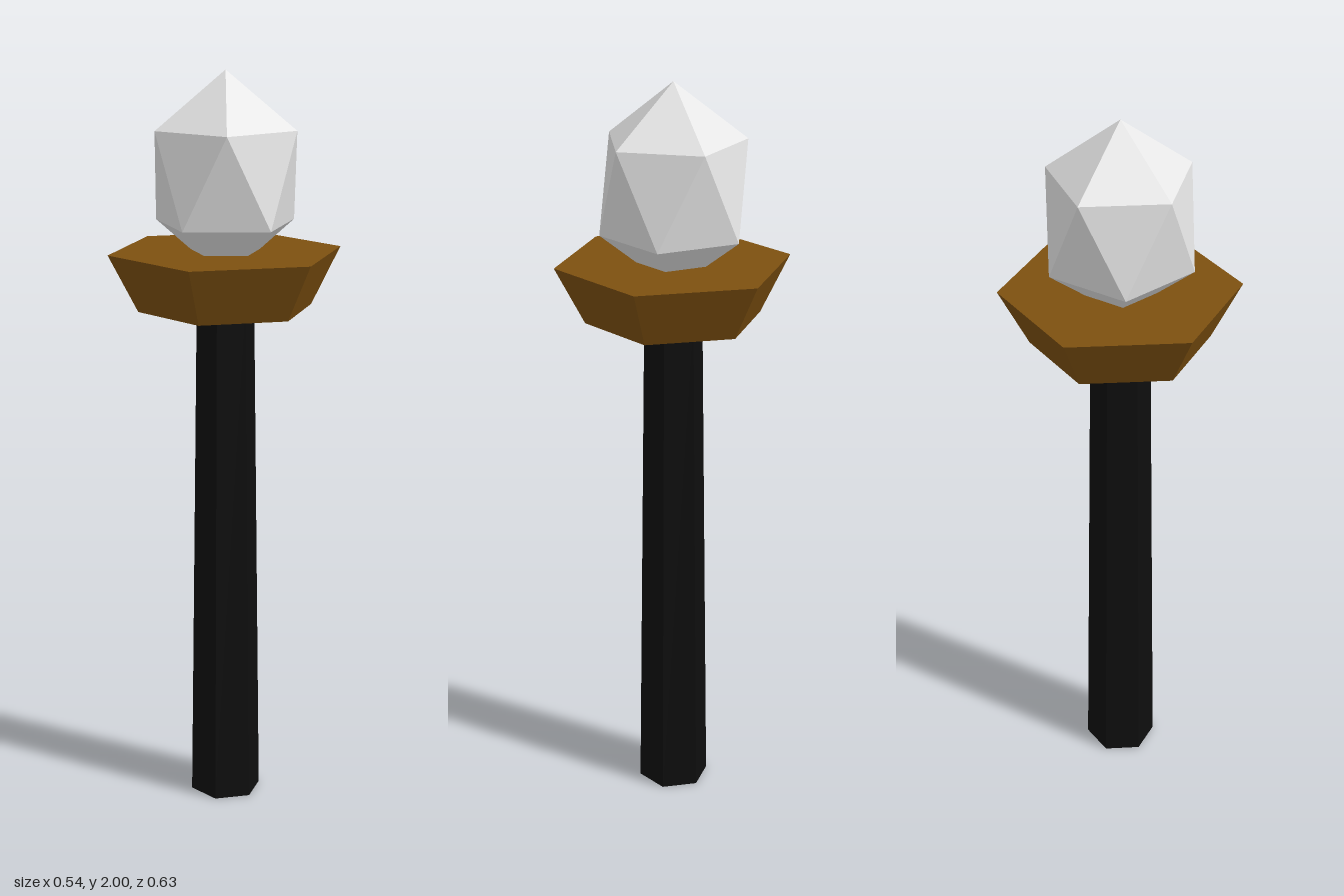
import * as THREE from 'three';
import { ConvexGeometry } from 'three/addons/geometries/ConvexGeometry.js';

const material = (name, color) => {
  const m = new THREE.MeshStandardMaterial({ color, flatShading: true });
  m.name = name;
  return m;
};

// Five points around the vertical axis
const ring = (radius, y, turn) => Array.from({ length: 5 }, (_, i) => {
  const a = turn + (i * Math.PI * 2) / 5;
  return new THREE.Vector3(radius * Math.cos(a), y, radius * Math.sin(a));
});

export function createModel() {
  const group = new THREE.Group();
  group.name = 'torch';

  const add = (name, geometry, mat, y = 0) => {
    const mesh = new THREE.Mesh(geometry, mat);
    mesh.name = name;
    mesh.position.y = y;
    group.add(mesh);
  };

  // Tapered six-sided shaft
  add('handle', new THREE.CylinderGeometry(0.078, 0.097, 1.4, 6), material('black', 0x0e0e0e), 0.7);

  // Flared six-sided collar
  add('collar', new THREE.CylinderGeometry(0.314, 0.235, 0.153, 6), material('brown', 0x7d5010), 1.454);

  // Stretched twenty-sided gem, its lower tip sunk into the collar
  const gem = new ConvexGeometry([
    new THREE.Vector3(0, 2, 0),
    ...ring(0.192, 1.85, 0),
    ...ring(0.192, 1.605, Math.PI / 5),
    new THREE.Vector3(0, 1.455, 0),
  ]);
  add('gem', gem, material('pale grey', 0xe6e6e6));

  return group;
}
